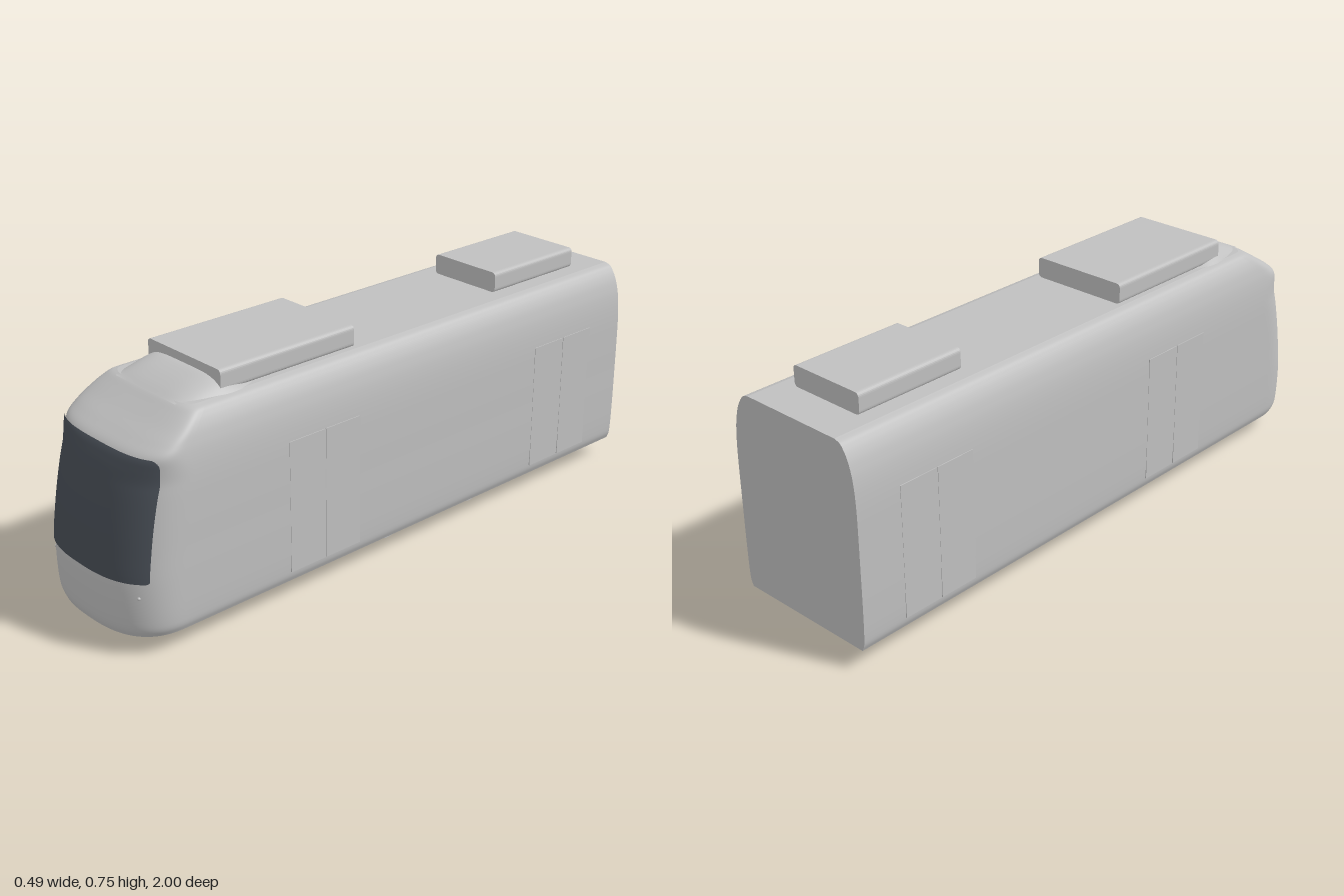
import * as THREE from 'three';

// Surface from a grid of points; the front faces along (row direction x column direction)
function grid(rows, cols, point) {
  const pos = [], idx = [];
  for (let i = 0; i < rows; i++) {
    for (let j = 0; j < cols; j++) {
      pos.push(...point(i, j));
      if (i < rows - 1 && j < cols - 1) {
        const a = i * cols + j, up = a + cols;
        idx.push(a, up, a + 1, a + 1, up, up + 1);
      }
    }
  }
  const g = new THREE.BufferGeometry();
  g.setAttribute('position', new THREE.Float32BufferAttribute(pos, 3));
  g.setIndex(idx);
  g.computeVertexNormals();
  return g;
}

// Half width, height and nose position of the body, from floor to roof
const profile = new THREE.CatmullRomCurve3([
  [0.232, 0.06, 0.986], [0.240, 0.08, 0.993], [0.243, 0.11, 0.997], [0.245, 0.22, 0.998],
  [0.245, 0.32, 0.985], [0.245, 0.42, 0.966], [0.244, 0.50, 0.946], [0.241, 0.55, 0.929],
  [0.237, 0.582, 0.912], [0.231, 0.61, 0.873], [0.221, 0.64, 0.822], [0.207, 0.665, 0.782],
  [0.194, 0.679, 0.760], [0.175, 0.685, 0.748],
].map(p => new THREE.Vector3(...p)), false, 'centripetal').getPoints(78);

function profileAt(y) {
  let k = 0;
  while (k < profile.length - 2 && profile[k + 1].y < y) k++;
  const a = profile[k], b = profile[k + 1];
  return a.clone().lerp(b, (y - a.y) / (b.y - a.y));
}

// Rounded nose plan: depth and squareness change toward the roof
function noseShape(y) {
  const s = THREE.MathUtils.smoothstep(y, 0.5, 0.685);
  return { depth: 0.17 - 0.11 * s, n: 2.6 + 1.2 * s };
}

function nosePoint(p, angle, grow = 0) {
  const { depth, n } = noseShape(p.y);
  const c = Math.cos(angle), s = Math.max(0, Math.sin(angle));
  return [
    (p.x + grow) * Math.sign(c) * Math.abs(c) ** (2 / n), p.y,
    p.z + grow - depth + depth * s ** (2 / n),
  ];
}

export function createModel() {
  const group = new THREE.Group();
  const bodyGrey = new THREE.MeshStandardMaterial({ color: 0xc0c0c0 });
  bodyGrey.name = 'bodyGrey';
  const darkGlass = new THREE.MeshStandardMaterial({ color: 0x484e56 });
  darkGlass.name = 'darkGlass';

  function add(name, geometry, material = bodyGrey, x = 0, y = 0, z = 0) {
    const m = new THREE.Mesh(geometry, material);
    m.name = name;
    m.position.set(x, y, z);
    group.add(m);
    return m;
  }

  // Body shell: rings running along one side, round the nose and back
  const ARC = 64, COLS = ARC + 3, ROWS = profile.length;
  const shell = (i, j) => {
    const p = profile[i];
    if (j === 0) return [p.x, p.y, -1];
    if (j === COLS - 1) return [-p.x, p.y, -1];
    return nosePoint(p, Math.PI * (j - 1) / ARC);
  };
  add('bodyShell', grid(ROWS, COLS, shell));

  // Flat roof, floor and rear wall close the shell
  const half = (COLS + 1) / 2;
  add('roof', grid(half, 2, (i, j) => shell(ROWS - 1, j ? i : COLS - 1 - i)));
  add('floor', grid(half, 2, (i, j) => shell(0, j ? COLS - 1 - i : i)));
  add('rearWall', grid(ROWS, 2, (i, j) => shell(i, j ? 0 : COLS - 1)));

  // Windscreen wrapped round the nose, with rounded corners
  const bottom = 0.235, top = 0.582;
  const cut = (d, r) => (d < r ? r - Math.sqrt(r * r - (r - d) ** 2) : 0);
  add('windscreen', grid(61, 49, (i, j) => {
    const y = bottom + (top - bottom) * (0.5 - 0.5 * Math.cos(Math.PI * i / 60));
    const p = profileAt(y);
    const w = 0.225 - 0.004 * (i / 60) - cut(y - bottom, 0.008) - cut(top - y, 0.022);
    const edge = Math.acos((w / (p.x + 0.004)) ** (noseShape(y).n / 2));
    return nosePoint(p, edge + (Math.PI - 2 * edge) * j / 48, 0.004);
  }), darkGlass);

  // Raised fairing leading up to the front roof unit: z, half width, height
  const fairing = new THREE.CatmullRomCurve3([
    [0.48, 0.165, 0.004], [0.53, 0.178, 0.014], [0.58, 0.182, 0.034], [0.62, 0.180, 0.042],
    [0.67, 0.170, 0.033], [0.72, 0.155, 0.016], [0.755, 0.135, 0.0],
  ].map(p => new THREE.Vector3(...p))).getPoints(30);
  add('roofFairing', grid(31, 33, (i, j) => {
    const { x: z, y: w, z: h } = fairing[i];
    const u = Math.sin(Math.PI * (j / 32 - 0.5));
    return [u * w, 0.682 + h * (1 - Math.abs(u) ** 5), z];
  }));

  // Roof units with rounded long edges
  function roofUnit(name, halfWidth, zBack, zFront) {
    const r = 0.014, w = halfWidth, b = 0.685, t = 0.75;
    const s = new THREE.Shape();
    s.moveTo(-w + r, b);
    s.lineTo(w - r, b);
    s.quadraticCurveTo(w, b, w, b + r);
    s.lineTo(w, t - r);
    s.quadraticCurveTo(w, t, w - r, t);
    s.lineTo(-w + r, t);
    s.quadraticCurveTo(-w, t, -w, t - r);
    s.lineTo(-w, b + r);
    s.quadraticCurveTo(-w, b, -w + r, b);
    const g = new THREE.ExtrudeGeometry(s, { depth: zFront - zBack, bevelEnabled: false, curveSegments: 6 });
    add(name, g, bodyGrey, 0, 0, zBack);
  }
  roofUnit('frontRoofUnit', 0.164, 0.13, 0.62);
  roofUnit('rearRoofUnit', 0.13, -0.875, -0.505);

  // Flanged wheels and axles
  const across = (r, len) => new THREE.CylinderGeometry(r, r, len, 40).rotateZ(Math.PI / 2);
  for (const z of [-0.01, -0.38]) {
    add('axle', across(0.007, 0.29), bodyGrey, 0, 0.062, z);
    for (const side of [-1, 1]) {
      add('wheelTread', across(0.054, 0.026), bodyGrey, side * 0.155, 0.062, z);
      add('wheelFlange', across(0.062, 0.007), bodyGrey, side * 0.149, 0.062, z);
    }
  }

  // Two-leaf doors, nearly flush with both sides, and small nose lamps
  for (const side of [-1, 1]) {
    for (const zMid of [0.315, -0.715]) {
      for (const leaf of [-1, 1]) {
        add('doorLeaf', new THREE.BoxGeometry(0.005, 0.415, 0.132), bodyGrey,
          side * 0.2435, 0.3025, zMid + leaf * 0.068);
      }
    }
    const p = profileAt(0.19);
    const { depth, n } = noseShape(0.19);
    const z = p.z - depth + depth * (1 - (0.2 / p.x) ** n) ** (1 / n);
    add('noseLamp', new THREE.SphereGeometry(0.005, 16, 10), bodyGrey, side * 0.2, 0.19, z);
  }
  return group;
}
